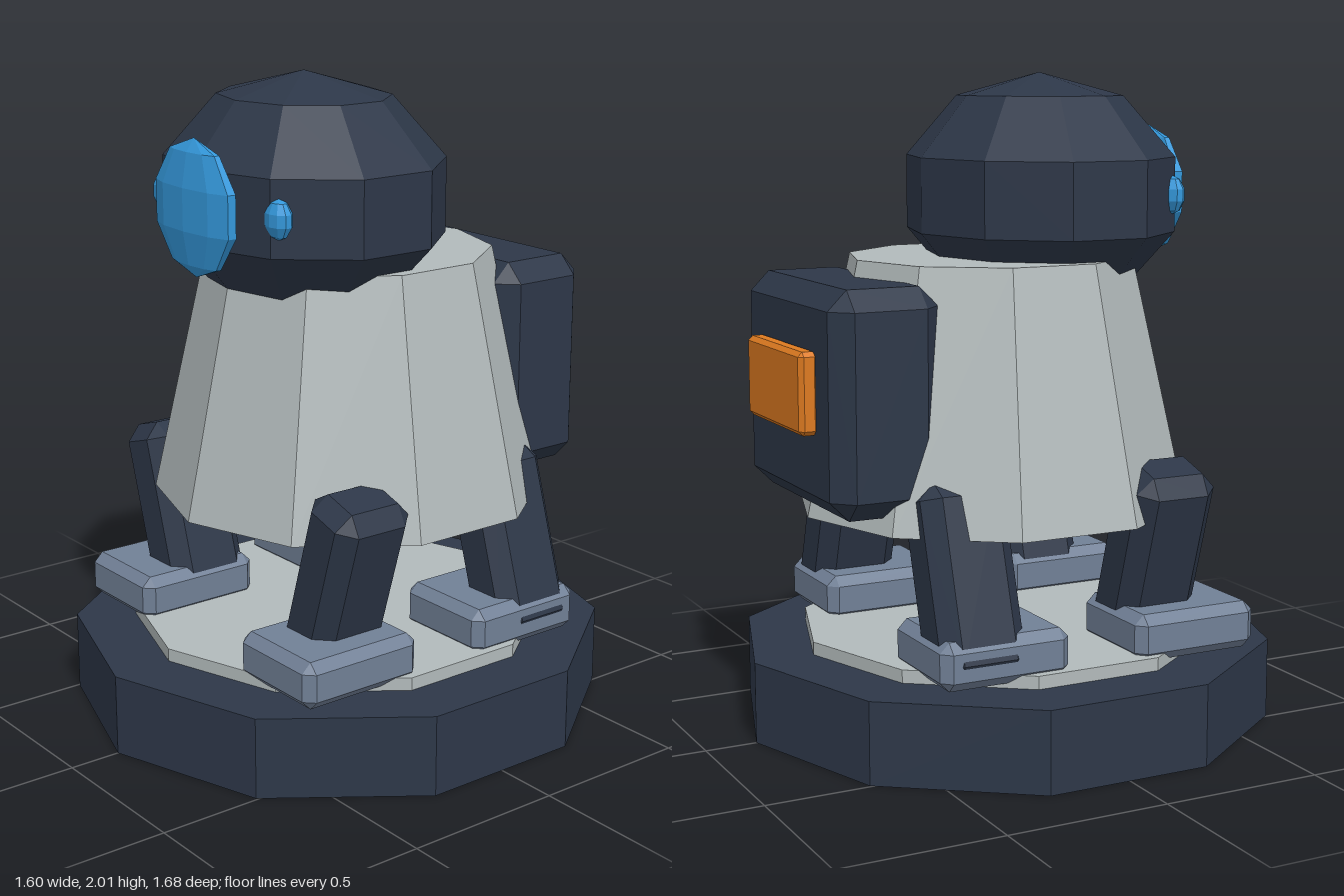
import * as THREE from 'three';
import { ConvexGeometry } from 'three/addons/geometries/ConvexGeometry.js';

const paint = (color) => new THREE.MeshStandardMaterial({ color, flatShading: true });

// Box with every edge cut by a chamfer c, centred on the origin
function chamferBox(w, h, d, c) {
  const pts = [];
  for (const x of [-1, 1]) for (const y of [-1, 1]) for (const z of [-1, 1]) {
    const [X, Y, Z] = [x * w / 2, y * h / 2, z * d / 2];
    pts.push(
      new THREE.Vector3(X, Y - y * c, Z - z * c),
      new THREE.Vector3(X - x * c, Y, Z - z * c),
      new THREE.Vector3(X - x * c, Y - y * c, Z)
    );
  }
  return new ConvexGeometry(pts);
}

// Ten-sided faceted ball with a vertex column facing the front
const ball = (rx, ry, rz) =>
  new THREE.SphereGeometry(1, 10, 5).rotateY(Math.PI / 2).scale(rx, ry, rz);

const drum = (top, bottom, h) => new THREE.CylinderGeometry(top, bottom, h, 10);

export function createModel() {
  const model = new THREE.Group();
  model.name = 'robotOnStand';

  const dark = paint(0x2d3748);
  const light = paint(0xb2babb);
  const steel = paint(0x718096);
  const blue = paint(0x3498db);
  const orange = paint(0xdd7a20);

  const add = (name, geometry, material, x, y, z) => {
    const mesh = new THREE.Mesh(geometry, material);
    mesh.name = name;
    mesh.position.set(x, y, z);
    model.add(mesh);
    return mesh;
  };

  // Stand
  add('base', drum(0.84, 0.84, 0.25), dark, 0, 0.125, 0);
  add('basePlate', drum(0.65, 0.65, 0.06), light, 0, 0.26, 0);

  // Body and head
  add('body', drum(0.443, 0.615, 0.77), light, 0, 1.065, -0.047);
  add('head', ball(0.492, 0.37, 0.424), dark, 0, 1.635, 0.125);

  // Eyes
  add('mainEye', ball(0.205, 0.205, 0.047), blue, 0, 1.635, 0.52);
  for (const s of [-1, 1]) {
    add(s > 0 ? 'leftSideEye' : 'rightSideEye', ball(0.053, 0.06, 0.035), blue, s * 0.288, 1.635, 0.432);
  }

  // Backpack with its panel
  add('backpack', chamferBox(0.74, 0.67, 0.345, 0.06), dark, 0, 1.065, -0.543);
  add('backpackPanel', chamferBox(0.435, 0.245, 0.06, 0.014), orange, 0, 1.093, -0.735);

  // Legs lean outward in front and inward at the back
  const legGeometry = chamferBox(0.215, 0.585, 0.27, 0.05);
  const footGeometry = chamferBox(0.35, 0.145, 0.415, 0.03);
  for (const s of [-1, 1]) for (const f of [1, -1]) {
    const label = (s > 0 ? 'left' : 'right') + (f > 0 ? 'Front' : 'Back');
    const leg = add(label + 'Leg', legGeometry, dark, s * (f > 0 ? 0.42 : 0.425), f > 0 ? 0.557 : 0.543, f > 0 ? 0.298 : -0.343);
    leg.rotation.z = -0.3 * s * f;
    add(label + 'Foot', footGeometry, steel, s * 0.42, 0.338, f > 0 ? 0.358 : -0.284);
  }

  return model;
}
